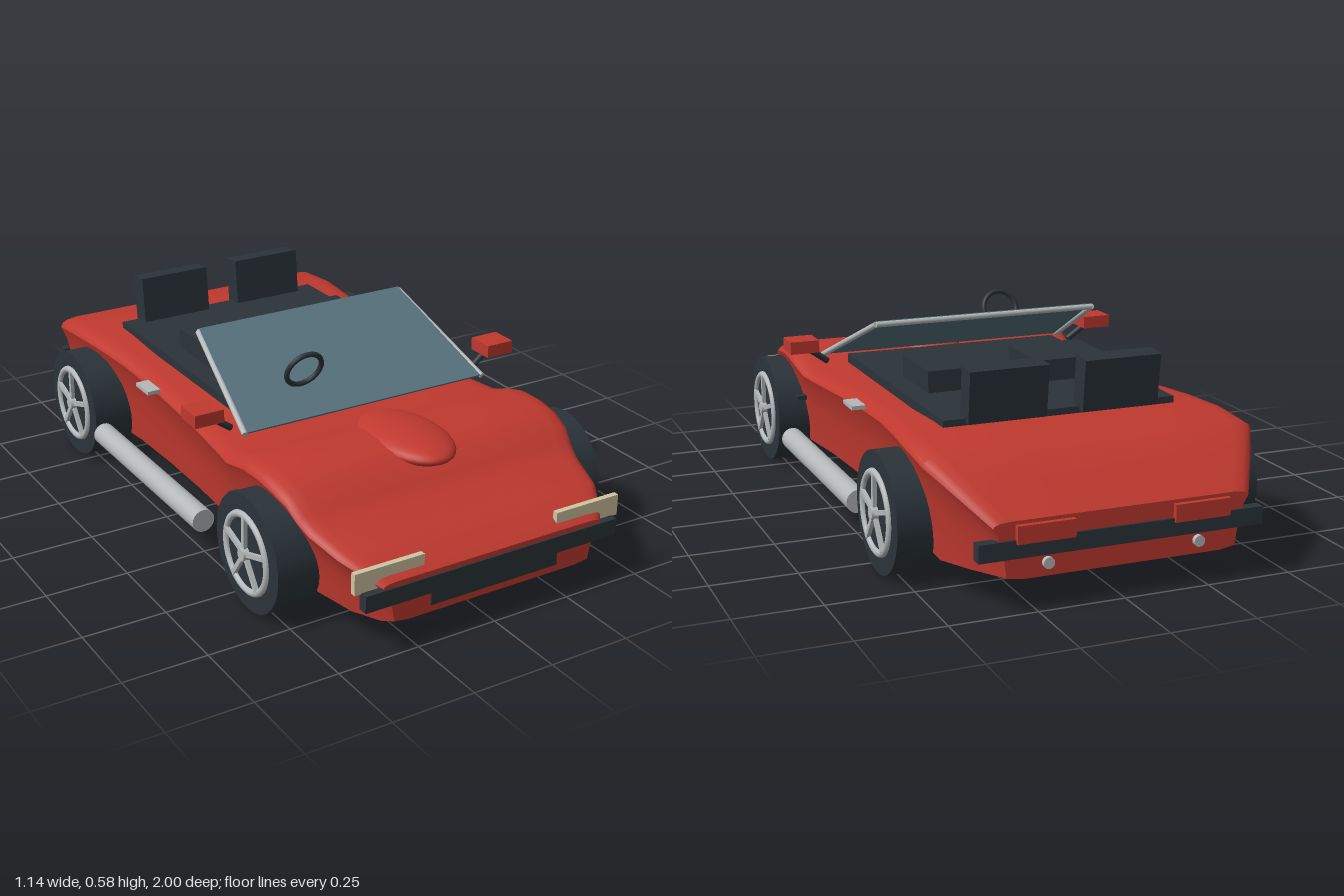
import * as THREE from 'three';
import { toCreasedNormals } from 'three/addons/utils/BufferGeometryUtils.js';

const mat = (name, color, extra = {}) => Object.assign(new THREE.MeshStandardMaterial({ color, ...extra }), { name });

export function createModel() {
  const red = mat('body red', 0xc0392f);
  const dark = mat('dark trim', 0x2b343a);
  const silver = mat('silver', 0xb4b8ba);
  const glass = mat('tinted glass', 0x56727c, { side: THREE.DoubleSide });
  const cream = mat('headlight cream', 0xd0c5a2);

  const car = new THREE.Group();
  car.name = 'roadster';

  const add = (name, geo, material, x = 0, y = 0, z = 0, parent = car) => {
    const m = new THREE.Mesh(geo, material);
    m.name = name;
    m.position.set(x, y, z);
    parent.add(m);
    return m;
  };
  // Box given by its extents on each axis
  const box = (name, material, x0, x1, y0, y1, z0, z1) =>
    add(name, new THREE.BoxGeometry(x1 - x0, y1 - y0, z1 - z0), material, (x0 + x1) / 2, (y0 + y1) / 2, (z0 + z1) / 2);
  // Round bar between two points
  const bar = (name, material, a, b, r) => {
    const p = new THREE.Vector3(...a), q = new THREE.Vector3(...b), d = q.clone().sub(p);
    const m = add(name, new THREE.CylinderGeometry(r, r, d.length(), 20), material);
    m.position.copy(p).add(q).multiplyScalar(0.5);
    m.quaternion.setFromUnitVectors(new THREE.Vector3(0, 1, 0), d.normalize());
    return m;
  };

  // Body: one half section, scaled along z by [z, half width, bottom, top]
  const half = [[0, 0], [0.78, 0], [0.9, 0.05], [0.915, 0.3], [0.935, 0.55], [0.965, 0.78],
    [1, 0.91], [0.987, 0.955], [0.95, 0.985], [0.88, 1], [0.45, 1], [0, 1]];
  const loop = [...half, ...half.slice(1, -1).reverse().map(([x, y]) => [-x, y])];
  const stations = [
    [0.99, 0.36, 0.09, 0.215], [0.96, 0.385, 0.082, 0.235], [0.88, 0.43, 0.08, 0.27], [0.77, 0.455, 0.08, 0.3],
    [0.73, 0.465, 0.08, 0.325], [0.69, 0.475, 0.08, 0.362], [0.63, 0.484, 0.08, 0.384], [0.56, 0.488, 0.08, 0.394],
    [0.48, 0.49, 0.08, 0.392], [0.42, 0.487, 0.08, 0.376], [0.36, 0.478, 0.08, 0.354], [0.25, 0.463, 0.08, 0.352],
    [0.05, 0.452, 0.08, 0.362], [-0.15, 0.45, 0.08, 0.375], [-0.35, 0.456, 0.08, 0.387], [-0.5, 0.472, 0.08, 0.395],
    [-0.65, 0.487, 0.08, 0.396], [-0.79, 0.49, 0.08, 0.383], [-0.88, 0.438, 0.083, 0.325], [-0.985, 0.372, 0.09, 0.25],
  ];
  const pos = [], idx = [], n = loop.length;
  for (const [z, w, y0, y1] of stations) for (const [fx, fy] of loop) pos.push(fx * w, y0 + fy * (y1 - y0), z);
  for (let i = 0; i < stations.length - 1; i++) for (let j = 0; j < n; j++) {
    const a = i * n + j, b = i * n + (j + 1) % n, c = b + n, d = a + n;
    idx.push(a, d, b, b, d, c);
  }
  const last = (stations.length - 1) * n;
  for (let j = 1; j < n - 1; j++) {
    idx.push(0, j, j + 1);
    idx.push(last, last + j + 1, last + j);
  }
  const bodyGeo = new THREE.BufferGeometry();
  bodyGeo.setAttribute('position', new THREE.Float32BufferAttribute(pos, 3));
  bodyGeo.setIndex(idx);
  add('body', toCreasedNormals(bodyGeo, 0.7), red);

  // Bonnet scoop
  add('bonnetScoop', new THREE.SphereGeometry(1, 32, 20), red, 0, 0.374, 0.55).scale.set(0.115, 0.041, 0.19);

  // Floor, cockpit and bumpers
  box('floorPan', dark, -0.335, 0.335, 0.056, 0.084, -0.83, 0.85);
  box('cockpitFloor', dark, -0.355, 0.355, 0.387, 0.415, -0.587, 0.27);
  box('frontBumper', dark, -0.417, 0.417, 0.15, 0.2, 0.965, 0.995);
  box('frontAirDam', dark, -0.21, 0.21, 0.112, 0.152, 0.965, 0.994);
  box('rearBumper', dark, -0.415, 0.415, 0.15, 0.2, -0.992, -0.96);

  // Windscreen, leaning back
  const slope = 0.423, lean = -1.143;
  const pane = new THREE.Shape([[-0.41, 0], [0.41, 0], [0.355, slope], [-0.355, slope]].map(p => new THREE.Vector2(...p)));
  const screen = add('windscreen', new THREE.ExtrudeGeometry(pane, { depth: 0.006, bevelEnabled: false }), glass, 0, 0.4, 0.352);
  screen.rotation.x = lean;
  bar('windscreenTopRail', silver, [-0.358, 0.57, -0.03], [0.358, 0.57, -0.03], 0.009);

  // Steering wheel
  add('steeringWheel', new THREE.TorusGeometry(0.057, 0.008, 12, 36), dark, -0.173, 0.52, 0.275).rotation.x = 0.38;

  // Parts on both sides
  for (const s of [1, -1]) {
    const sideBox = (name, m, x0, x1, ...rest) => box(name, m, Math.min(s * x0, s * x1), Math.max(s * x0, s * x1), ...rest);
    bar('windscreenPillar', silver, [s * 0.413, 0.4, 0.352], [s * 0.358, 0.57, -0.03], 0.009);
    sideBox('seatCushion', dark, 0.055, 0.29, 0.41, 0.48, -0.295, -0.075);
    const back = sideBox('seatBack', dark, 0.055, 0.29, 0.405, 0.557, -0.617, -0.553);
    back.rotation.x = -0.1;
    sideBox('headlight', cream, 0.22, 0.437, 0.197, 0.26, 0.955, 0.972);
    sideBox('tailLight', red, 0.145, 0.31, 0.19, 0.24, -1, -0.965);
    sideBox('mirror', red, 0.46, 0.552, 0.436, 0.475, 0.232, 0.318);
    bar('mirrorArm', dark, [s * 0.42, 0.395, 0.28], [s * 0.485, 0.442, 0.275], 0.01);
    sideBox('doorHandle', silver, 0.45, 0.492, 0.36, 0.372, -0.2, -0.115);
    sideBox('sideMarker', dark, 0.46, 0.492, 0.243, 0.257, 0.39, 0.412);
    bar('sidePipe', silver, [s * 0.533, 0.14, 0.315], [s * 0.533, 0.14, -0.372], 0.035);
    bar('exhaust', silver, [s * 0.22, 0.128, -0.94], [s * 0.22, 0.128, -0.998], 0.016);

    // Wheels, built facing +x and turned round for the right side
    for (const [z, end] of [[0.595, 'front'], [-0.575, 'rear']]) {
      const wheel = new THREE.Group();
      wheel.name = end + 'Wheel';
      wheel.position.set(s * 0.478, 0.173, z);
      if (s < 0) wheel.rotation.y = Math.PI;
      car.add(wheel);
      add('tyre', new THREE.CylinderGeometry(0.173, 0.173, 0.136, 40), dark, 0, 0, 0, wheel).rotation.z = Math.PI / 2;
      const rim = add('rim', new THREE.TorusGeometry(0.113, 0.011, 10, 40), silver, 0.068, 0, 0, wheel);
      rim.rotation.y = Math.PI / 2;
      add('hub', new THREE.CylinderGeometry(0.018, 0.022, 0.026, 20), silver, 0.074, 0, 0, wheel).rotation.z = -Math.PI / 2;
      for (let k = 0; k < 5; k++) {
        const a = k * Math.PI * 2 / 5;
        const spoke = add('spoke', new THREE.BoxGeometry(0.016, 0.105, 0.014), silver,
          0.072, Math.cos(a) * 0.06, Math.sin(a) * 0.06, wheel);
        spoke.rotation.x = a;
      }
    }
  }
  return car;
}
